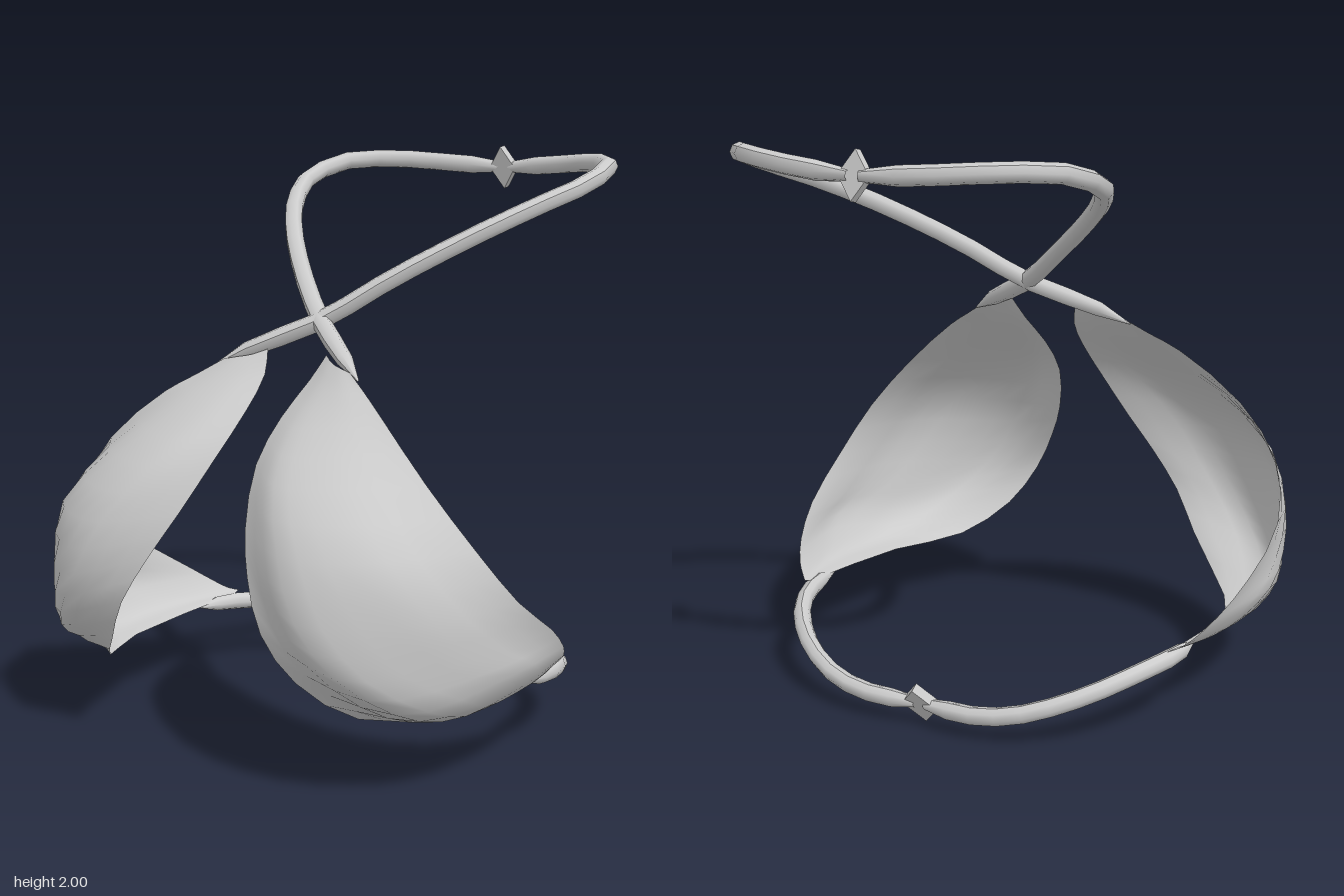
import * as THREE from 'three';

const material = new THREE.MeshStandardMaterial({ color: 0xcccccc });
const clothMaterial = new THREE.MeshStandardMaterial({ color: 0xcccccc, side: THREE.DoubleSide });

const curveThrough = (points) =>
  new THREE.CatmullRomCurve3(points.map((p) => new THREE.Vector3(...p)), false, 'centripetal');

// Cup cross-sections from top to back tip; each runs from outer rim to inner edge
const cupSections = [
  [[0.28, 1.29, 0.39], [0.23, 1.3, 0.38], [0.18, 1.31, 0.36], [0.13, 1.33, 0.33]],
  [[0.38, 1.23, 0.43], [0.29, 1.23, 0.45], [0.19, 1.23, 0.44], [0.1, 1.25, 0.38]],
  [[0.48, 1.17, 0.475], [0.36, 1.14, 0.55], [0.21, 1.12, 0.58], [0.08, 1.14, 0.5]],
  [[0.7, 0.99, 0.53], [0.52, 0.98, 0.7], [0.29, 0.97, 0.76], [0.09, 1.0, 0.64]],
  [[0.86, 0.8, 0.49], [0.7, 0.79, 0.77], [0.42, 0.78, 0.885], [0.15, 0.82, 0.76]],
  [[0.925, 0.62, 0.35], [0.82, 0.6, 0.69], [0.52, 0.59, 0.915], [0.22, 0.68, 0.83]],
  [[0.91, 0.48, 0.13], [0.88, 0.46, 0.55], [0.64, 0.43, 0.86], [0.31, 0.52, 0.87]],
  [[0.86, 0.38, -0.02], [0.91, 0.38, 0.37], [0.76, 0.31, 0.71], [0.41, 0.37, 0.82]],
  [[0.81, 0.32, -0.1], [0.86, 0.3, 0.24], [0.79, 0.25, 0.52], [0.56, 0.25, 0.69]],
  [[0.77, 0.29, -0.14], [0.81, 0.27, 0.09], [0.78, 0.25, 0.28], [0.71, 0.235, 0.42]],
  [[0.74, 0.28, -0.17], [0.738, 0.277, -0.16], [0.736, 0.274, -0.15], [0.735, 0.27, -0.14]],
];

// Smooth open shell lofted through the cross-sections
function cupGeometry() {
  const across = 10;
  const down = 20;
  const columns = [0, 1, 2, 3].map((k) => curveThrough(cupSections.map((s) => s[k])));
  const positions = [];
  const indices = [];
  for (let i = 0; i <= down; i++) {
    const row = new THREE.CatmullRomCurve3(columns.map((c) => c.getPoint(i / down)));
    for (let j = 0; j <= across; j++) {
      positions.push(...row.getPoint(j / across).toArray());
      if (i === down || j === across) continue;
      const a = i * (across + 1) + j;
      const b = a + across + 1;
      indices.push(a, a + 1, b, a + 1, b + 1, b);
    }
  }
  const geometry = new THREE.BufferGeometry();
  geometry.setAttribute('position', new THREE.Float32BufferAttribute(positions, 3));
  geometry.setIndex(indices);
  geometry.computeVertexNormals();
  return geometry;
}

// Round cord that flattens to a point at its start and narrows at its end
function cordGeometry(points, radius, segments) {
  const sides = 8;
  const curve = curveThrough(points);
  const geometry = new THREE.TubeGeometry(curve, segments, radius, sides);
  const position = geometry.attributes.position;
  const vertex = new THREE.Vector3();
  for (let i = 0; i <= segments; i++) {
    const scale = i === 0 ? 0.08 : i === 1 ? 0.85 : i === segments ? 0.6 : 1;
    const centre = curve.getPointAt(i / segments);
    for (let j = 0; j <= sides; j++) {
      const n = i * (sides + 1) + j;
      vertex.fromBufferAttribute(position, n).sub(centre).multiplyScalar(scale).add(centre);
      position.setXYZ(n, vertex.x, vertex.y, vertex.z);
    }
  }
  geometry.computeVertexNormals();
  return geometry;
}

// Flat diamond plate covering the join of two cords
function diamond(name, halfWidth, halfHeight, thickness, tilt, position) {
  const shape = new THREE.Shape([
    new THREE.Vector2(halfWidth, 0),
    new THREE.Vector2(0, halfHeight),
    new THREE.Vector2(-halfWidth, 0),
    new THREE.Vector2(0, -halfHeight),
  ]);
  const geometry = new THREE.ExtrudeGeometry(shape, { depth: thickness, bevelEnabled: false });
  geometry.translate(0, 0, -thickness / 2);
  const mesh = new THREE.Mesh(geometry, material);
  mesh.name = name;
  mesh.rotation.x = tilt;
  mesh.position.set(...position);
  return mesh;
}

export function createModel() {
  const model = new THREE.Group();
  model.name = 'halterTop';

  const cup = cupGeometry();
  // Neck cord crosses the chest and loops behind the neck
  const neckCord = cordGeometry([
    [0.32, 1.265, 0.395], [0.2, 1.33, 0.33], [0, 1.425, 0.205], [-0.2, 1.57, 0.065],
    [-0.4, 1.71, -0.12], [-0.54, 1.81, -0.3], [-0.625, 1.885, -0.49], [-0.59, 1.94, -0.68],
    [-0.43, 1.945, -0.81], [-0.2, 1.93, -0.875], [-0.02, 1.92, -0.893],
  ], 0.033, 18);
  // Back cord runs from the cup's back tip to the middle of the back
  const backCord = cordGeometry([
    [0.75, 0.25, 0.04], [0.74, 0.245, -0.1], [0.68, 0.228, -0.27], [0.58, 0.185, -0.4],
    [0.46, 0.14, -0.49], [0.34, 0.105, -0.54], [0.2, 0.085, -0.558], [0.02, 0.085, -0.55],
  ], 0.032, 12);

  // Mirrored halves
  for (const [side, sign] of [['left', 1], ['right', -1]]) {
    const half = new THREE.Group();
    half.name = side + 'Half';
    half.scale.x = sign;
    const parts = [['Cup', cup, clothMaterial], ['NeckCord', neckCord, material], ['BackCord', backCord, material]];
    for (const [name, geometry, mat] of parts) {
      const mesh = new THREE.Mesh(geometry, mat);
      mesh.name = side + name;
      half.add(mesh);
    }
    model.add(half);
  }

  model.add(diamond('neckClasp', 0.057, 0.08, 0.03, 0.2, [0, 1.92, -0.888]));
  model.add(diamond('backClasp', 0.07, 0.085, 0.035, -0.57, [0, 0.085, -0.545]));
  return model;
}
